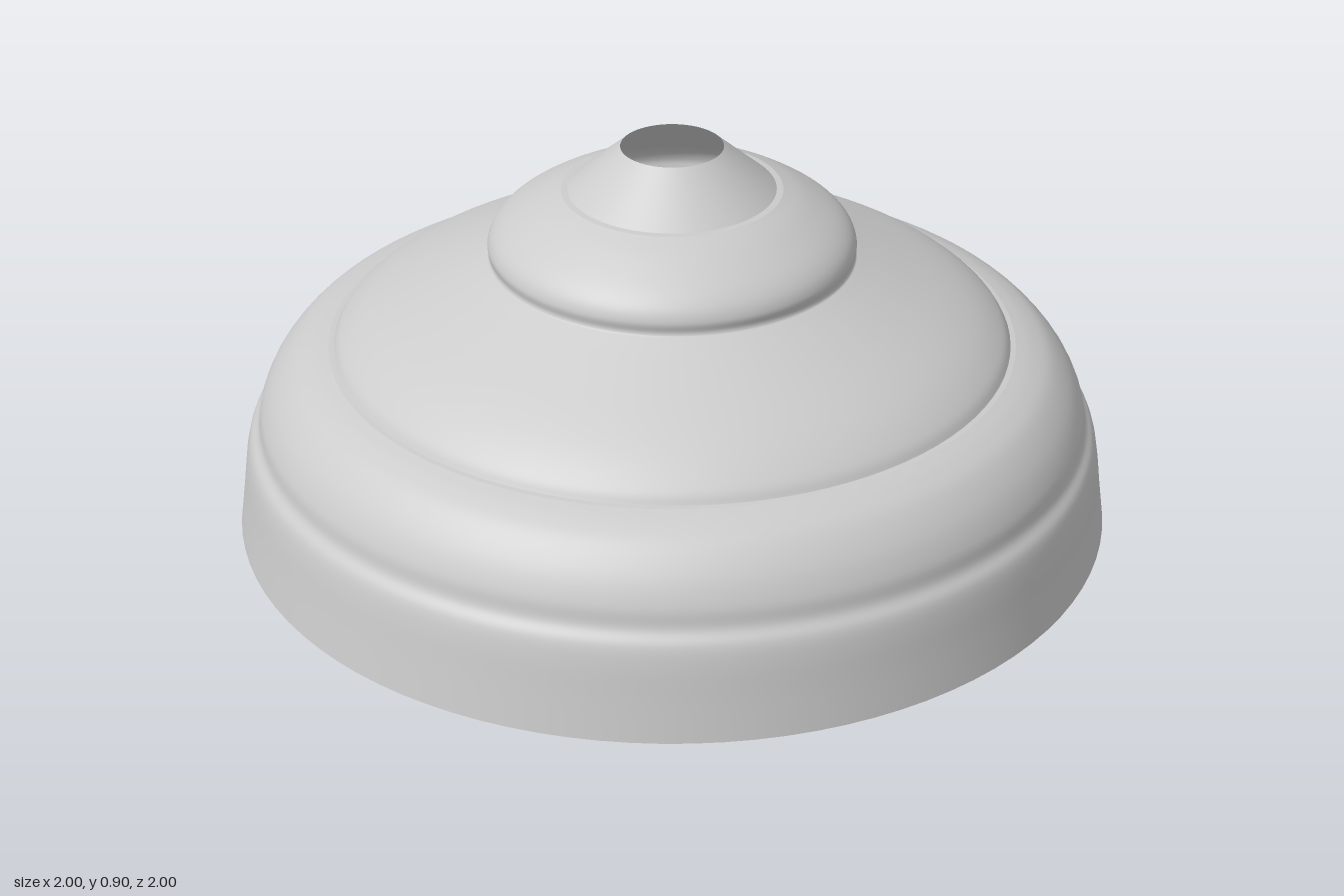
import * as THREE from 'three';

const SEGMENTS = 96;

export function createModel() {
  const group = new THREE.Group();
  group.name = 'bellShade';
  const material = new THREE.MeshStandardMaterial({ color: 0xcccccc, side: THREE.DoubleSide });

  // Revolves a profile of [radius, height] pairs, smoothed when steps are given
  function addRing(name, profile, steps = 0) {
    let points = profile.map(([r, y]) => new THREE.Vector2(r, y));
    if (steps) points = new THREE.SplineCurve(points).getPoints(steps);
    const mesh = new THREE.Mesh(new THREE.LatheGeometry(points, SEGMENTS), material);
    mesh.name = name;
    group.add(mesh);
  }

  // Flared skirt with a soft step and a rounded shoulder
  addRing('skirt', [
    [1, 0], [0.988, 0.09], [0.978, 0.17], [0.967, 0.215], [0.947, 0.245], [0.938, 0.29],
    [0.91, 0.345], [0.865, 0.395], [0.82, 0.42], [0.78, 0.433],
  ], 48);

  // Narrow ledge between the skirt and the slope
  addRing('ledge', [[0.78, 0.433], [0.768, 0.434]]);

  // Sloping middle, running into the rounded collar
  addRing('slope', [
    [0.768, 0.434], [0.75, 0.46], [0.7, 0.5], [0.63, 0.54], [0.52, 0.592], [0.43, 0.634], [0.412, 0.646],
    [0.414, 0.672], [0.4, 0.702], [0.365, 0.734], [0.3, 0.774], [0.248, 0.797],
  ], 64);

  // Ledge and open conical neck
  addRing('neckLedge', [[0.248, 0.797], [0.233, 0.798]]);
  addRing('neck', [[0.233, 0.798], [0.115, 0.9]]);

  return group;
}
